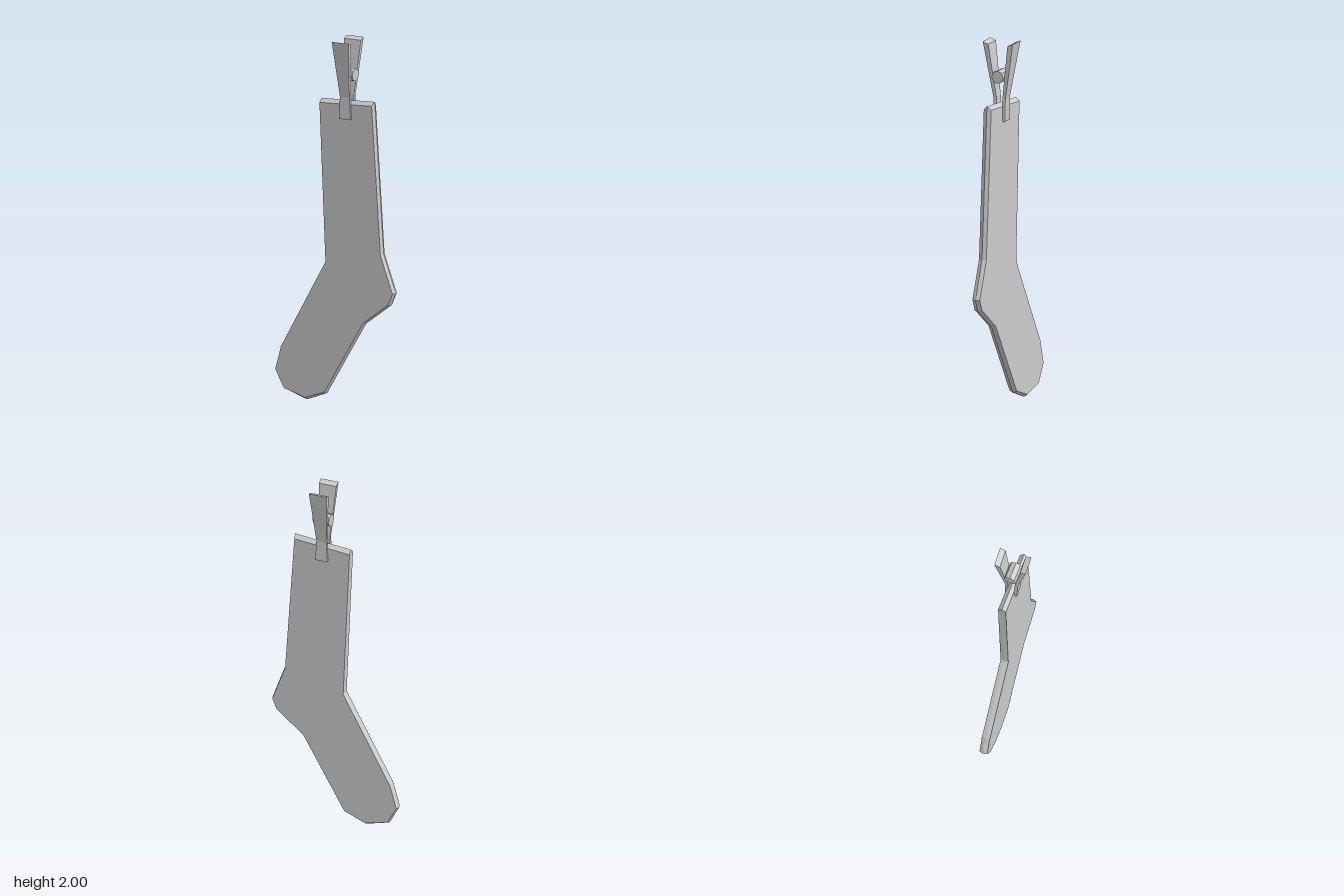
import * as THREE from 'three';

const material = new THREE.MeshStandardMaterial({ color: 0xcccccc, flatShading: true });

// Closed solid through rings of equal length; flatten projects a ring for its caps
function loft(name, rings, flatten) {
  const n = rings[0].length, last = (rings.length - 1) * n, index = [];
  for (let r = 0; r < rings.length - 1; r++) {
    for (let i = 0; i < n; i++) {
      const a = r * n + i, b = r * n + (i + 1) % n;
      index.push(a, b, b + n, a, b + n, a + n);
    }
  }
  const caps = THREE.ShapeUtils.triangulateShape(rings[0].map(flatten), []);
  for (const [a, b, c] of caps) index.push(c, b, a, a + last, b + last, c + last);
  const geometry = new THREE.BufferGeometry();
  geometry.setAttribute('position', new THREE.Float32BufferAttribute(rings.flat(2), 3));
  geometry.setIndex(index);
  const flat = geometry.toNonIndexed();
  flat.computeVertexNormals();
  const mesh = new THREE.Mesh(flat, material);
  mesh.name = name;
  return mesh;
}

// Sock: a wider outline at mid thickness, a slightly inset one on each face
function createSock() {
  const ridge = [
    [-0.09, 1.66], [-0.055, 0.775], [-0.33, 0.28], [-0.37, 0.15], [-0.315, 0.045], [-0.18, 0.003],
    [-0.055, 0.053], [0.185, 0.463], [0.343, 0.585], [0.368, 0.65], [0.294, 0.855], [0.238, 1.68],
  ];
  const face = [
    [-0.09, 1.64], [-0.053, 0.775], [-0.327, 0.28], [-0.363, 0.15], [-0.31, 0.053], [-0.18, 0.018],
    [-0.059, 0.063], [0.18, 0.47], [0.336, 0.59], [0.361, 0.65], [0.286, 0.855], [0.232, 1.66],
  ];
  const at = (outline, z) => outline.map(([x, y]) => [x, y, z]);
  return loft('sock', [at(face, -0.022), at(ridge, 0), at(face, 0.022)],
    ([x, y]) => new THREE.Vector2(x, y));
}

// Peg arm: half width, outer z and y, inner z and y from the jaw up to the grip
function createArm(name) {
  const sections = [
    [0.035, 0.034, 1.57, 0.018, 1.57],
    [0.028, 0.034, 1.69, 0.018, 1.7],
    [0.05, 0.087, 2.0, 0.056, 1.988],
  ];
  const rings = sections.map(([w, zo, yo, zi, yi]) =>
    [[-w, yo, zo], [w, yo, zo], [w, yi, zi], [-w, yi, zi]]);
  return loft(name, rings, ([x, , z]) => new THREE.Vector2(x, -z));
}

export function createModel() {
  const model = new THREE.Group();
  model.name = 'hangingSock';
  model.add(createSock());

  const peg = new THREE.Group();
  peg.name = 'clothesPeg';
  peg.position.x = 0.071;

  // Two arms, slightly twisted and facing opposite ways
  ['frontArm', 'backArm'].forEach((name, i) => {
    const arm = createArm(name);
    arm.rotation.y = 0.06 + i * Math.PI;
    peg.add(arm);
  });

  // Spring between the arms
  const spring = new THREE.Mesh(new THREE.CylinderGeometry(0.035, 0.035, 0.094, 8), material);
  spring.name = 'spring';
  spring.rotation.z = Math.PI / 2;
  spring.position.set(0.002, 1.812, 0);
  peg.add(spring);

  model.add(peg);
  return model;
}
